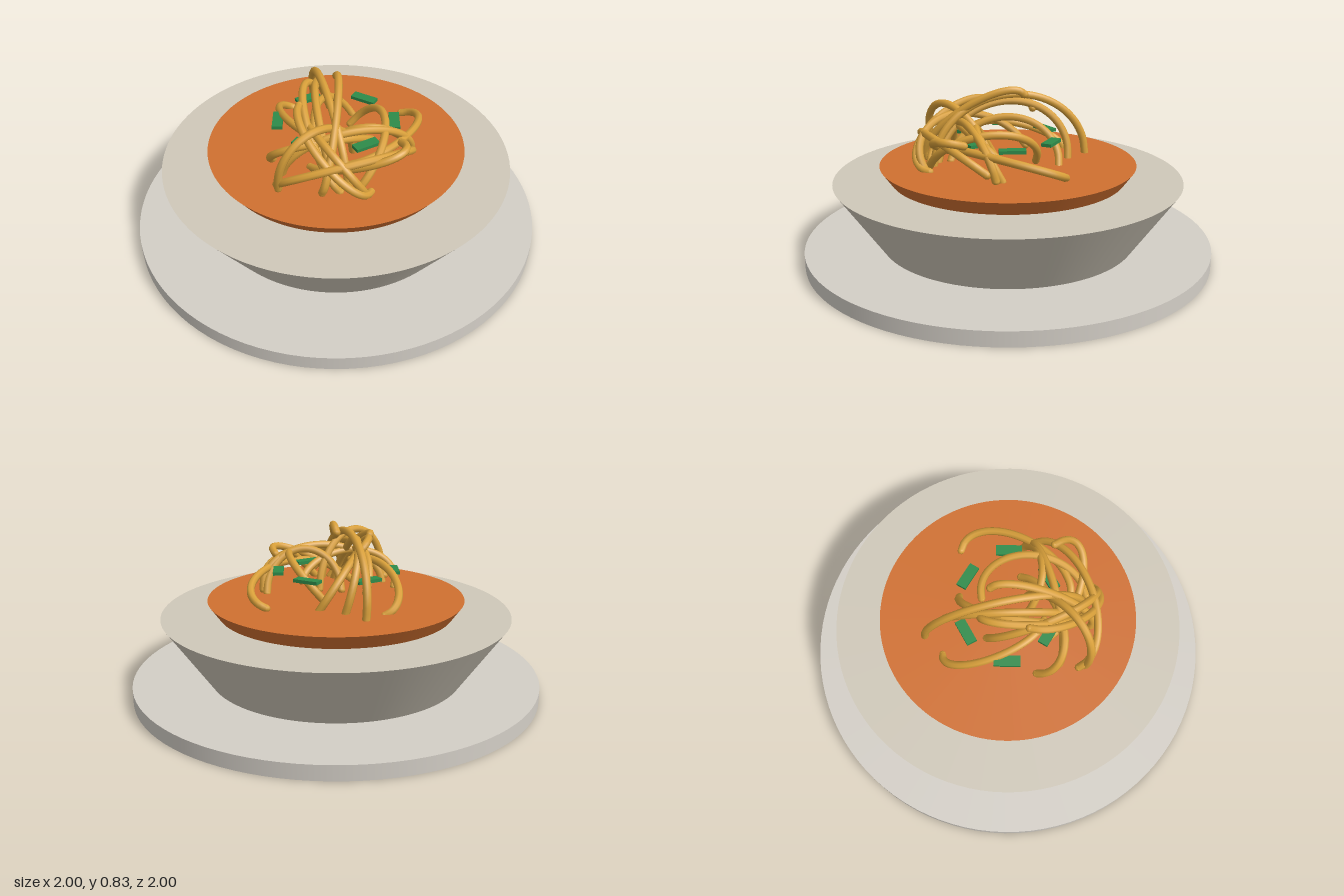
import * as THREE from 'three';

const material = (color) => new THREE.MeshStandardMaterial({ color });

// Noodles: start, apex and end of each half-elliptic strand
const STRANDS = [
  // tall loops running front to back
  [[-0.12, 0.46, -0.40], [-0.06, 0.78, -0.02], [0.06, 0.46, 0.36]],
  [[-0.03, 0.45, -0.30], [-0.10, 0.74, -0.02], [0.00, 0.46, 0.34]],
  [[0.00, 0.79, -0.08], [0.00, 0.72, 0.22], [-0.06, 0.47, 0.40]],
  [[-0.10, 0.70, -0.13], [-0.14, 0.70, 0.14], [0.02, 0.46, 0.38]],
  [[0.09, 0.45, -0.24], [-0.09, 0.66, -0.02], [-0.02, 0.46, 0.28]],
  // side arcs
  [[-0.21, 0.45, -0.31], [-0.27, 0.58, -0.08], [-0.08, 0.60, 0.17]],
  [[0.33, 0.47, -0.24], [0.36, 0.57, 0.06], [0.06, 0.55, 0.30]],
  [[0.07, 0.48, -0.13], [0.23, 0.65, 0.08], [0.10, 0.47, 0.38]],
  // strands draped across the front
  [[0.36, 0.47, 0.08], [0.08, 0.67, 0.21], [-0.25, 0.46, 0.25]],
  [[0.36, 0.50, 0.12], [0.08, 0.62, 0.39], [-0.27, 0.47, 0.34]],
  [[-0.30, 0.46, 0.14], [-0.13, 0.63, 0.26], [0.17, 0.52, 0.06]],
  [[-0.26, 0.47, 0.37], [-0.10, 0.73, 0.30], [0.08, 0.47, 0.08]],
  [[0.30, 0.62, 0.22], [0.18, 0.60, 0.36], [-0.12, 0.46, 0.20]],
  [[0.14, 0.46, 0.40], [-0.08, 0.68, 0.27], [-0.14, 0.50, -0.10]],
  [[-0.17, 0.74, 0.10], [-0.05, 0.62, 0.39], [0.16, 0.46, 0.38]],
  [[0.34, 0.46, 0.05], [0.16, 0.66, 0.16], [-0.03, 0.47, 0.06]],
];

function strandGeometry(points) {
  const [start, apex, end] = points.map((p) => new THREE.Vector3(...p));
  const middle = start.clone().add(end).multiplyScalar(0.5);
  const half = start.clone().sub(middle);
  const rise = apex.clone().sub(middle);
  const path = [];
  for (let i = 0; i <= 12; i++) {
    const a = (i / 12) * Math.PI;
    path.push(middle.clone().addScaledVector(half, Math.cos(a)).addScaledVector(rise, Math.sin(a)));
  }
  return new THREE.TubeGeometry(new THREE.CatmullRomCurve3(path), 40, 0.019, 8);
}

export function createModel() {
  const group = new THREE.Group();
  const add = (name, geometry, mat, parent = group) => {
    const mesh = new THREE.Mesh(geometry, mat);
    mesh.name = name;
    parent.add(mesh);
    return mesh;
  };
  // Tapered disc standing between two heights
  const disc = (name, top, bottom, y0, y1, color) => {
    add(name, new THREE.CylinderGeometry(top, bottom, y1 - y0, 96), material(color)).position.y = (y0 + y1) / 2;
  };

  disc('plate', 1, 1, 0, 0.07, 0xd3cec6);
  disc('bowl', 0.85, 0.63, 0.07, 0.39, 0xcfc8b9);
  disc('sauce', 0.625, 0.575, 0.39, 0.46, 0xd07030);

  // Pile of noodles
  const noodles = new THREE.Group();
  noodles.name = 'noodles';
  group.add(noodles);
  const noodleMaterial = material(0xd9a03a);
  for (const points of STRANDS) {
    add('noodle', strandGeometry(points), noodleMaterial, noodles);
    // Rounded strand ends
    for (const p of [points[0], points[2]]) {
      add('noodleEnd', new THREE.SphereGeometry(0.019, 8, 6), noodleMaterial, noodles).position.set(...p);
    }
  }

  // Ring of herb pieces
  const herbMaterial = material(0x2e8b4a);
  for (let i = 0; i < 6; i++) {
    const a = (i * Math.PI) / 3;
    const herb = add('herb', new THREE.BoxGeometry(0.05, 0.016, 0.125), herbMaterial);
    herb.position.set(0.28 * Math.cos(a), 0.587, 0.225 * Math.sin(a));
    herb.rotation.y = -a;
  }
  return group;
}
